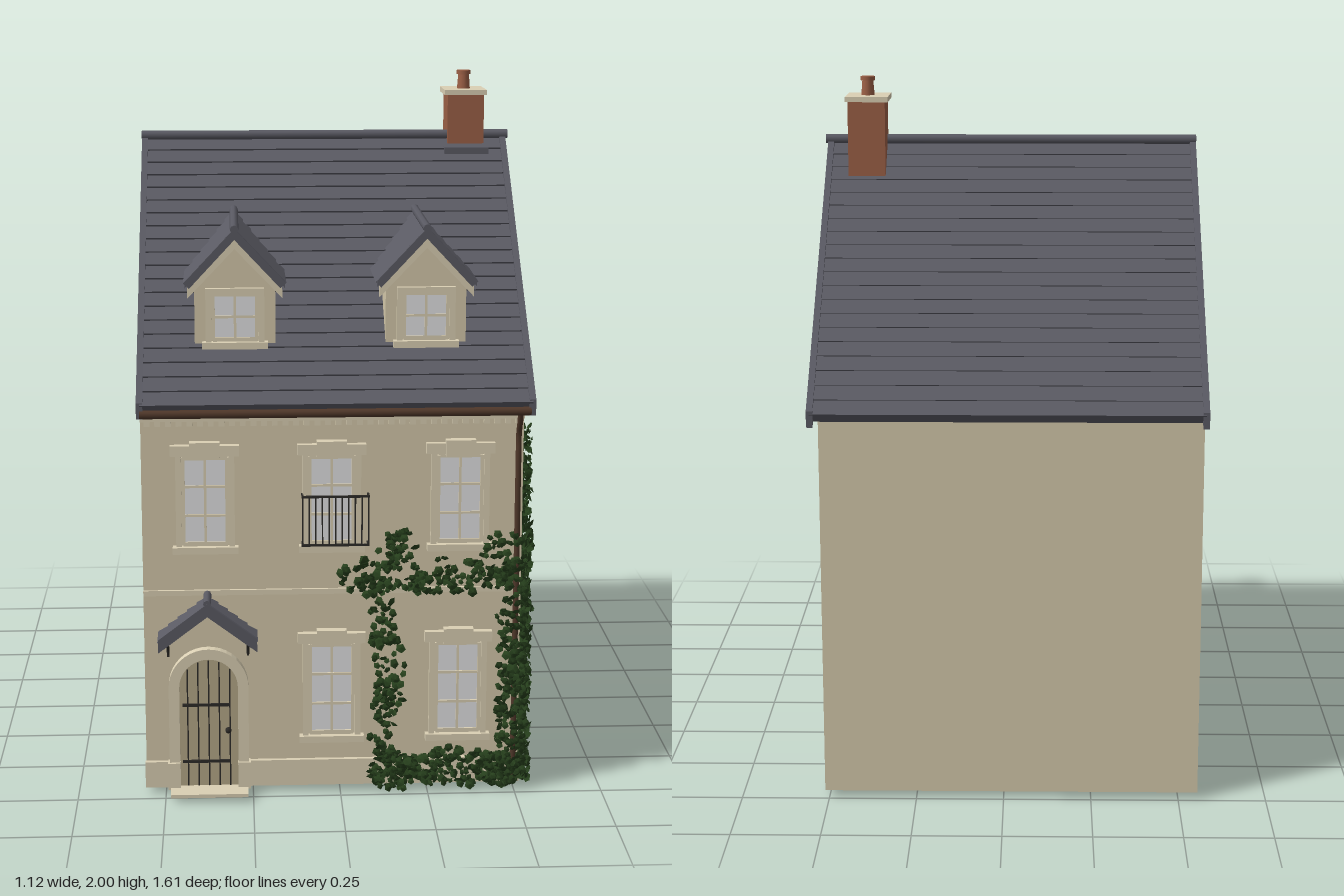
import * as THREE from 'three';
import { mergeGeometries } from 'three/addons/utils/BufferGeometryUtils.js';

const mat = (name, color, side = THREE.FrontSide) => {
  const m = new THREE.MeshStandardMaterial({ color, side });
  m.name = name;
  return m;
};

export function createModel() {
  const wall = mat('wall render', 0xd5c9ab), stone = mat('trim stone', 0xdbd0b4);
  const slate = mat('slate', 0x5a5a63), glass = mat('pale glass', 0xe2e2e3);
  const brick = mat('brick', 0x9c6046), iron = mat('black iron', 0x2c2a27);
  const ivyGreen = mat('ivy green', 0x263f1c, THREE.DoubleSide);
  const gutterBrown = mat('gutter brown', 0x50382a), oak = mat('weathered door wood', 0xb5a888);
  const inside = mat('interior brown', 0xae8f78);
  const house = new THREE.Group();
  house.name = 'house';

  const add = (name, geo, m, parent = house) => {
    const mesh = new THREE.Mesh(geo, m);
    mesh.name = name;
    parent.add(mesh);
    return mesh;
  };
  // Box given by its two corners
  const box = (name, m, x0, x1, y0, y1, z0, z1, parent) => {
    const mesh = add(name, new THREE.BoxGeometry(x1 - x0, y1 - y0, z1 - z0), m, parent);
    mesh.position.set((x0 + x1) / 2, (y0 + y1) / 2, (z0 + z1) / 2);
    return mesh;
  };
  const group = (name, x, y, z) => {
    const g = new THREE.Group();
    g.name = name;
    g.position.set(x, y, z);
    house.add(g);
    return g;
  };
  const poly = pts => new THREE.Shape(pts.map(p => new THREE.Vector2(p[0], p[1])));
  const extrude = (shape, z0, z1) =>
    new THREE.ExtrudeGeometry(shape, { depth: z1 - z0, bevelEnabled: false, curveSegments: 10 }).translate(0, 0, z0);
  // Profile drawn in (z, y), swept from x0 to x1
  const extrudeX = (shape, x0, x1) => extrude(shape, 0, x1 - x0).rotateY(-Math.PI / 2).translate(x1, 0, 0);

  // Saw-tooth section of overlapping slate courses from eave to ridge
  const slopeShape = (eave, ridge, rows, thick, lip) => {
    const e = new THREE.Vector2(...eave), r = new THREE.Vector2(...ridge);
    const d = r.clone().sub(e).normalize();
    const n = new THREE.Vector2(-d.y, d.x).multiplyScalar(d.x < 0 ? -1 : 1);
    const at = (t, o) => { const p = e.clone().lerp(r, t).addScaledVector(n, o); return [p.x, p.y]; };
    const pts = [];
    for (let i = 0; i < rows; i++) pts.push(at(i / rows, lip), at((i + 1) / rows, 0));
    pts.push(at(1, -thick), at(0, -thick));
    return poly(pts);
  };
  const chevron = (a, r, b, h) => poly([a, r, b, [b[0], b[1] - h], [r[0], r[1] - h], [a[0], a[1] - h]]);

  // Hollow walls, open at the bottom
  const X0 = -0.555, X1 = 0.512, Z0 = -0.74, Z1 = 0.705, B = 0.018;
  const gable = poly([[Z0, B], [Z1, B], [Z1, 1.15], [-0.03, 1.765], [Z0, 1.15]]);
  add('leftWall', extrudeX(gable, X0, X0 + 0.04), wall);
  add('rightWall', extrudeX(gable, X1 - 0.04, X1), wall);
  box('frontWall', wall, X0 + 0.04, X1 - 0.04, B, 1.15, Z1 - 0.04, Z1);
  box('backWall', wall, X0 + 0.04, X1 - 0.04, B, 1.15, Z0, Z0 + 0.04);
  // Interior partition, floor strip, ledges and ceiling
  box('partition', inside, X0 + 0.04, X1 - 0.04, 0.03, 1.1, 0.48, 0.5);
  box('hallFloor', inside, X0 + 0.04, X1 - 0.04, 0.022, 0.032, 0.48, Z1 - 0.04);
  box('ceiling', inside, X0 + 0.04, X1 - 0.04, 1.1, 1.12, Z0 + 0.04, Z1 - 0.04);
  for (const [x, y] of [[-0.1, 0.3], [0.25, 0.16]]) box('ledge', inside, x - 0.14, x + 0.14, y, y + 0.06, 0.34, 0.48);

  // Main roof
  const ridge = [-0.03, 1.8], front = [0.755, 1.145], back = [-0.8, 1.14];
  add('frontRoof', extrudeX(slopeShape(front, ridge, 20, 0.03, 0.006), -0.555, 0.53), slate);
  add('backRoof', extrudeX(slopeShape(back, ridge, 20, 0.03, 0.003), -0.555, 0.53), slate);
  for (const x of [-0.564, 0.52]) {
    add('vergeBoard', extrudeX(chevron([0.755, 1.155], [-0.03, 1.813], [-0.8, 1.15], 0.045), x, x + 0.018), slate);
  }
  const ridgeTile = add('ridgeTiles', new THREE.CylinderGeometry(0.014, 0.014, 1.11, 10).rotateZ(Math.PI / 2), slate);
  ridgeTile.position.set(-0.01, 1.81, -0.03);

  // Chimney
  box('chimneyStack', brick, 0.36, 0.47, 1.65, 1.93, -0.137, -0.005);
  box('chimneyFlashing', slate, 0.348, 0.482, 1.755, 1.775, -0.03, 0.03);
  box('chimneyCap', stone, 0.35, 0.477, 1.93, 1.945, -0.152, 0.005);
  add('chimneyPot', new THREE.CylinderGeometry(0.016, 0.02, 0.05, 12), brick).position.set(0.414, 1.967, -0.072);
  add('chimneyPotRim', new THREE.CylinderGeometry(0.021, 0.021, 0.012, 12), brick).position.set(0.414, 1.994, -0.072);

  // Sash window: origin at the bottom middle of the pane, facing +z
  const windowAt = (name, x, y, z, w, h, rows, full = true) => {
    const g = group(name, x, y, z);
    box('pane', glass, -w, w, 0, h, -0.002, 0.004, g);
    for (const s of [-1, 1]) {
      box('sash', stone, s * w - 0.006, s * w + 0.006, 0, h, 0, 0.01, g);
      box('jamb', stone, s * (w + 0.012) - 0.008, s * (w + 0.012) + 0.008, -0.01, h + 0.01, 0, 0.016, g);
    }
    box('uprightBar', stone, -0.0035, 0.0035, 0, h, 0, 0.008, g);
    for (let i = 0; i <= rows; i++) {
      const t = i % rows ? 0.0035 : 0.007;
      box('crossBar', stone, -w, w, i * h / rows - t, i * h / rows + t, 0, 0.009, g);
    }
    box('sill', stone, -w - 0.03, w + 0.03, -0.024, -0.005, 0, 0.026, g);
    if (full) {
      box('lintel', stone, -w - 0.034, w + 0.034, h + 0.006, h + 0.036, 0, 0.02, g);
      box('keystone', stone, -0.042, 0.042, h, h + 0.046, 0, 0.026, g);
    } else box('headFrame', stone, -w - 0.02, w + 0.02, h, h + 0.016, 0, 0.016, g);
    return g;
  };
  for (const x of [-0.378, -0.025, 0.335]) windowAt('upperFrontWindow', x, 0.74, Z1, 0.062, 0.25, 3);
  for (const x of [-0.025, 0.335]) windowAt('lowerFrontWindow', x, 0.175, Z1, 0.062, 0.265, 3);
  for (const z of [0.383, -0.255]) {
    windowAt('upperSideWindow', X1, 0.74, z, 0.062, 0.25, 3).rotation.y = Math.PI / 2;
    windowAt('lowerSideWindow', X1, 0.18, z, 0.062, 0.24, 3).rotation.y = Math.PI / 2;
  }

  // Dormers
  for (const x of [-0.29, 0.245]) {
    const g = group('dormer', x, 0, 0);
    add('dormerWalls', extrude(poly([[-0.113, 1.265], [0.113, 1.265], [0.113, 1.46], [0, 1.585], [-0.113, 1.46]]), 0.1, 0.59), wall, g);
    for (const s of [-1, 1]) {
      add('dormerRoof', extrude(slopeShape([s * 0.14, 1.46], [0, 1.61], 6, 0.018, 0.005), 0.17, 0.615), slate, g);
    }
    add('dormerVerge', extrude(chevron([0.139, 1.468], [0, 1.616], [-0.139, 1.468], 0.018), 0.609, 0.622), slate, g);
    add('dormerGableTrim', extrude(chevron([0.132, 1.46], [0, 1.598], [-0.132, 1.46], 0.04), 0.59, 0.613), stone, g);
    const cap = add('dormerRidge', new THREE.CylinderGeometry(0.012, 0.012, 0.44, 8).rotateX(Math.PI / 2), slate, g);
    cap.position.set(0, 1.613, 0.402);
    windowAt('dormerWindow', x, 1.3, 0.59, 0.062, 0.13, 2, false);
  }

  // Front mouldings
  box('plinth', stone, X0 - 0.003, X1 + 0.003, B, 0.095, Z1, Z1 + 0.013);
  box('stringCourse', stone, X0, X1, 0.59, 0.605, Z1, Z1 + 0.008);
  box('cornice', stone, X0, X1, 1.095, 1.115, Z1, Z1 + 0.018);
  for (let i = 0; i < 36; i++) {
    const x = X0 + 0.01 + i * 0.0295;
    box('dentil', stone, x, x + 0.016, 1.08, 1.095, Z1, Z1 + 0.012);
  }

  // Arched door with iron straps
  const door = group('frontDoor', -0.375, B, Z1);
  const arch = (w, h) => {
    const s = new THREE.Shape();
    s.moveTo(-w, 0); s.lineTo(w, 0); s.lineTo(w, h);
    s.absarc(0, h, w, 0, Math.PI, false);
    s.lineTo(-w, 0);
    return s;
  };
  const surround = arch(0.113, 0.305);
  surround.holes.push(arch(0.083, 0.305));
  add('doorSurround', extrude(surround, 0, 0.026), stone, door);
  add('doorLeaf', extrude(arch(0.084, 0.305), 0, 0.016), oak, door);
  for (let i = -2; i <= 2; i++) {
    const x = i * 0.03;
    box('plankGap', iron, x - 0.002, x + 0.002, 0.005, 0.3 + Math.sqrt(0.0068 - x * x), 0.014, 0.018, door);
  }
  for (const y of [0.08, 0.25]) box('strapHinge', iron, -0.075, 0.06, y - 0.004, y + 0.004, 0.014, 0.021, door);
  add('doorKnob', new THREE.SphereGeometry(0.009, 10, 8), iron, door).position.set(0.055, 0.175, 0.024);
  for (const s of [-1, 1]) box('pierBase', stone, s * 0.1 - 0.018, s * 0.1 + 0.018, 0, 0.08, 0, 0.034, door);
  box('doorStep', stone, -0.11, 0.11, -0.004, 0.006, 0, 0.085, door);

  // Porch canopy
  const porch = group('porchCanopy', -0.375, 0, 0);
  for (const s of [-1, 1]) {
    add('canopyRoof', extrude(slopeShape([s * 0.137, 0.48], [0, 0.585], 5, 0.022, 0.005), Z1, 0.805), slate, porch);
    const foot = s * 0.113;
    box('bracketPost', iron, foot - 0.003, foot + 0.003, 0.41, 0.475, Z1, Z1 + 0.008, porch);
    const curve = new THREE.QuadraticBezierCurve3(
      new THREE.Vector3(foot, 0.415, Z1 + 0.004), new THREE.Vector3(foot, 0.46, Z1 + 0.02), new THREE.Vector3(foot, 0.47, 0.79));
    add('bracketArm', new THREE.TubeGeometry(curve, 8, 0.004, 6), iron, porch);
  }
  add('canopyVerge', extrude(chevron([0.138, 0.492], [0, 0.596], [-0.138, 0.492], 0.038), 0.798, 0.81), slate, porch);
  const porchRidge = add('canopyRidge', new THREE.CylinderGeometry(0.011, 0.011, 0.1, 8).rotateX(Math.PI / 2), slate, porch);
  porchRidge.position.set(0, 0.594, 0.758);

  // Iron balconette
  const rail = group('balconette', -0.015, 0, Z1);
  for (const y of [0.74, 0.88]) {
    box('railFront', iron, -0.095, 0.095, y - 0.003, y + 0.003, 0.029, 0.035, rail);
    for (const s of [-1, 1]) box('railEnd', iron, s * 0.092 - 0.003, s * 0.092 + 0.003, y - 0.003, y + 0.003, 0, 0.035, rail);
  }
  for (let i = 0; i < 11; i++) {
    const x = -0.092 + i * 0.0184;
    box('baluster', iron, x - 0.002, x + 0.002, 0.74, 0.88, 0.03, 0.034, rail);
  }

  // Gutter and downpipe
  const gutter = add('gutter', new THREE.CylinderGeometry(0.012, 0.012, 1.08, 10).rotateZ(Math.PI / 2), gutterBrown);
  gutter.position.set(-0.015, 1.122, 0.75);
  const pipe = new THREE.CatmullRomCurve3([[1.115, 0.746], [1.09, 0.738], [1.05, 0.715], [0.98, 0.715], [0.5, 0.715], [0.02, 0.715]]
    .map(([y, z]) => new THREE.Vector3(0.497, y, z)));
  add('downpipe', new THREE.TubeGeometry(pipe, 40, 0.008, 8), gutterBrown);

  // Ivy: scattered leaves in patches [centre u, centre y, half width, half height, count]
  let seed = 7;
  const rnd = () => (seed = (seed * 16807) % 2147483647) / 2147483647;
  const leaf = new THREE.ConeGeometry(0.012, 0.006, 5, 1, true).rotateX(Math.PI / 2);
  const ivy = (name, patches, place) => {
    const leaves = [];
    for (const [u, y, w, h, count] of patches) {
      for (let i = 0; i < count; i++) {
        const a = rnd() * Math.PI * 2, r = Math.sqrt(rnd()), k = 0.7 + rnd() * 0.6;
        const g = leaf.clone().scale(k, k, k).rotateX(rnd() * 1.6 - 0.8).rotateY(rnd() * 1.6 - 0.8);
        const py = Math.max(0.012, y + Math.sin(a) * r * h);
        leaves.push(place(g, u + Math.cos(a) * r * w, py, 0.004 + rnd() * 0.026));
      }
    }
    add(name, mergeGeometries(leaves), ivyGreen);
  };
  ivy('frontIvy', [
    [0.49, 0.2, 0.045, 0.2, 150], [0.485, 0.5, 0.045, 0.22, 130], [0.46, 0.7, 0.06, 0.08, 50],
    [0.32, 0.64, 0.16, 0.055, 95], [0.08, 0.64, 0.09, 0.055, 60], [0.16, 0.72, 0.055, 0.065, 40],
    [0.12, 0.52, 0.04, 0.12, 45], [0.14, 0.36, 0.045, 0.14, 55], [0.12, 0.2, 0.035, 0.13, 35],
    [0.15, 0.06, 0.07, 0.06, 95], [0.32, 0.07, 0.15, 0.055, 150], [0.46, 0.06, 0.07, 0.05, 80],
  ], (g, u, y, d) => g.translate(u, y, Z1 + 0.006 + d));
  ivy('sideIvy', [
    [0.6, 0.98, 0.045, 0.08, 45], [0.57, 0.86, 0.1, 0.08, 110], [0.59, 0.71, 0.12, 0.1, 160],
    [0.59, 0.55, 0.115, 0.12, 180], [0.62, 0.38, 0.09, 0.14, 190], [0.62, 0.2, 0.09, 0.14, 180],
    [0.66, 0.07, 0.06, 0.07, 80], [0.68, 0.45, 0.03, 0.4, 110],
  ], (g, u, y, d) => g.rotateY(Math.PI / 2).translate(X1 + 0.005 + d, y, u));
  return house;
}
